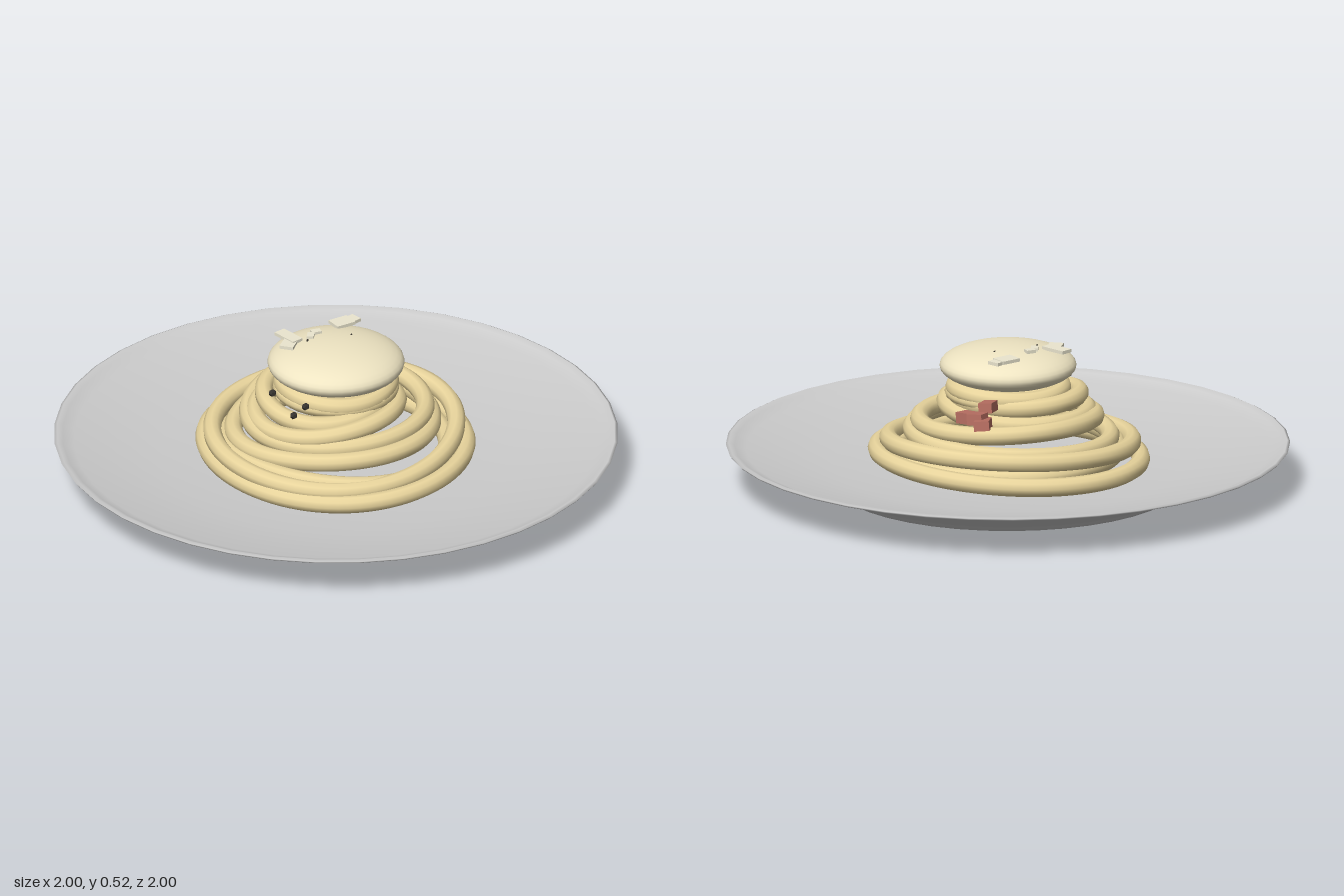
import * as THREE from 'three';

const mat = (color, extra = {}) => new THREE.MeshStandardMaterial({ color, ...extra });

function add(group, name, geometry, material, pos = [0, 0, 0], rot = [0, 0, 0]) {
  const mesh = new THREE.Mesh(geometry, material);
  mesh.name = name;
  mesh.position.set(...pos);
  mesh.rotation.set(...rot);
  group.add(mesh);
  return mesh;
}

// Closed, slightly tilted and wavy loop of pasta
function noodleLoop({ rx, rz, y, cx = 0, cz = 0, tiltX = 0, tiltZ = 0, phase = 0 }) {
  const points = [];
  for (let i = 0; i < 24; i++) {
    const a = (i / 24) * Math.PI * 2;
    const wave = 1 + 0.012 * Math.sin(3 * a + phase);
    const c = Math.cos(a), s = Math.sin(a);
    points.push(new THREE.Vector3(
      cx + rx * wave * c,
      y + tiltX * c + tiltZ * s + 0.006 * Math.sin(2 * a + phase),
      cz + rz * wave * s));
  }
  return new THREE.TubeGeometry(new THREE.CatmullRomCurve3(points, true), 80, 0.033, 10, true);
}

export function createModel() {
  const model = new THREE.Group();
  const grey = mat(0xcccccc);
  const pasta = mat(0xe8d49c);
  const cream = mat(0xeee4c2);
  const bacon = mat(0xb86f62, { flatShading: true });
  const cheese = mat(0xebe6cf, { flatShading: true });
  const pepper = mat(0x37342f, { flatShading: true });

  // Plate: foot, flared wall, thin lip and shallow inside
  const profile = [
    [0, 0], [0.615, 0], [0.622, 0.012], [0.65, 0.024], [0.82, 0.087], [0.995, 0.145], [1, 0.152],
    [0.99, 0.157], [0.97, 0.148], [0.93, 0.132], [0.62, 0.075], [0.3, 0.07], [0, 0.07],
  ].map(([r, y]) => new THREE.Vector2(r, y));
  add(model, 'plate', new THREE.LatheGeometry(profile, 40), grey);

  // Nest of noodles, widest at the bottom
  const noodles = new THREE.Group();
  noodles.name = 'noodleNest';
  model.add(noodles);
  [
    { rx: 0.44, rz: 0.48, y: 0.115, cz: -0.005, tiltX: 0.01, tiltZ: 0.005 },
    { rx: 0.435, rz: 0.43, y: 0.172, cx: 0.006, cz: -0.01, tiltX: 0.03, tiltZ: -0.012, phase: 1 },
    { rx: 0.385, rz: 0.395, y: 0.135, cz: 0.01, tiltX: -0.015, phase: 2 },
    { rx: 0.355, rz: 0.35, y: 0.2, cx: 0.005, cz: -0.015, tiltX: 0.008, tiltZ: 0.015, phase: 3 },
    { rx: 0.325, rz: 0.305, y: 0.255, cx: 0.015, cz: -0.01, tiltX: 0.012, tiltZ: -0.01, phase: 4 },
    { rx: 0.255, rz: 0.25, y: 0.28, cx: -0.045, cz: -0.01, tiltX: 0.01, tiltZ: 0.015, phase: 5 },
    { rx: 0.225, rz: 0.215, y: 0.325, cx: -0.035, cz: -0.02, tiltX: 0.01, tiltZ: -0.01, phase: 6 },
    { rx: 0.19, rz: 0.19, y: 0.36, cx: 0, phase: 7 },
  ].forEach((loop, i) => add(noodles, `noodle${i + 1}`, noodleLoop(loop), pasta));

  // Rounded core under the topping
  add(model, 'noodleCore', new THREE.SphereGeometry(0.225, 32, 16), pasta, [0, 0.345, 0]).scale.y = 0.29;

  // Flattened creamy dome
  add(model, 'creamDome', new THREE.SphereGeometry(0.243, 40, 20), cream, [0, 0.44, 0]).scale.y = 0.31;

  // Flat cheese shavings: [width, depth, position, turn]
  [
    [0.045, 0.1, [-0.065, 0.508, -0.165], -0.15],
    [0.08, 0.05, [-0.095, 0.504, -0.135], 0.4],
    [0.075, 0.06, [0.145, 0.506, -0.095], -0.3],
    [0.06, 0.045, [0.18, 0.504, -0.085], -0.1],
    [0.035, 0.025, [-0.015, 0.512, -0.105], 0.6],
    [0.035, 0.025, [0.02, 0.512, -0.11], -0.5],
  ].forEach(([w, d, pos, turn], i) =>
    add(model, `cheeseFlake${i + 1}`, new THREE.BoxGeometry(w, 0.012, d), cheese, pos, [0, turn, 0]));

  // Bacon cubes on the left flank
  [
    [0.07, 0.035, 0.05, [0.245, 0.355, -0.085], 0.3],
    [0.05, 0.04, 0.08, [0.3, 0.32, -0.04], -0.2],
    [0.09, 0.035, 0.055, [0.32, 0.312, -0.115], 0.5],
    [0.05, 0.04, 0.06, [0.31, 0.325, -0.085], 0.1],
  ].forEach(([w, h, d, pos, turn], i) =>
    add(model, `baconPiece${i + 1}`, new THREE.BoxGeometry(w, h, d), bacon, pos, [0.1, turn, 0.05]));

  // Peppercorn grains: [radius, x, y, z]
  [
    [0.014, -0.285, 0.35, 0.045],
    [0.014, -0.238, 0.372, 0.06],
    [0.014, -0.23, 0.37, -0.1],
    [0.005, 0.09, 0.508, -0.005],
    [0.005, -0.05, 0.513, -0.09],
  ].forEach(([r, ...pos], i) =>
    add(model, `pepperGrain${i + 1}`, new THREE.DodecahedronGeometry(r), pepper, pos));

  return model;
}
